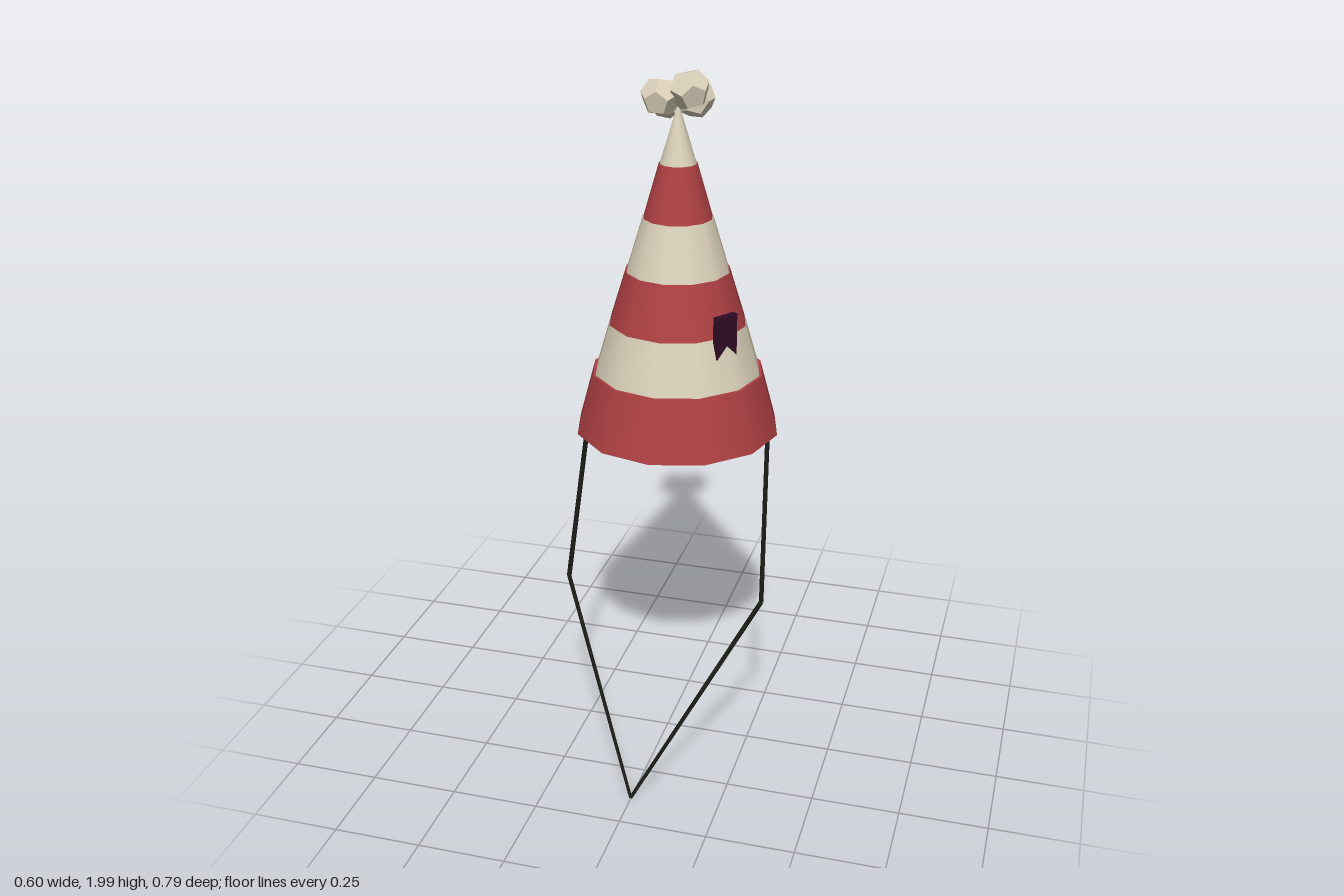
import * as THREE from 'three';

const material = (name, color) => {
  const m = new THREE.MeshStandardMaterial({ color });
  m.name = name;
  return m;
};

export function createModel() {
  const red = material('red felt', 0xae4043);
  const cream = material('cream felt', 0xdbd1ba);
  const purple = material('dark purple', 0x330c27);
  const black = material('black cord', 0x1b1b14);

  const model = new THREE.Group();
  model.name = 'partyHat';
  const axisZ = -0.103;

  const add = (parent, name, geometry, mat, x = 0, y = 0, z = 0) => {
    const mesh = new THREE.Mesh(geometry, mat);
    mesh.name = name;
    mesh.position.set(x, y, z);
    parent.add(mesh);
    return mesh;
  };

  // Striped cone: stacked twelve-sided bands, [bottom y, top y, bottom radius, top radius]
  const cone = new THREE.Group();
  cone.name = 'stripedCone';
  model.add(cone);
  [
    [0.97, 1.145, 0.295, 0.247],
    [1.145, 1.29, 0.239, 0.196],
    [1.29, 1.44, 0.196, 0.149],
    [1.44, 1.59, 0.146, 0.1],
    [1.59, 1.74, 0.098, 0.054],
    [1.74, 1.9, 0.051, 0.002],
  ].forEach(([y0, y1, r0, r1], i) => {
    const geometry = new THREE.CylinderGeometry(r1, r0, y1 - y0, 12);
    add(cone, `band${i + 1}`, geometry, i % 2 ? cream : red, 0, (y0 + y1) / 2, axisZ);
  });

  // Pompom: a cluster of faceted tufts, [x, y, z, radius]
  const pompom = new THREE.Group();
  pompom.name = 'pompom';
  model.add(pompom);
  [
    [0.036, 1.944, -0.083, 0.057],
    [-0.042, 1.922, -0.075, 0.055],
    [0.034, 1.908, -0.15, 0.055],
    [-0.042, 1.903, -0.142, 0.053],
  ].forEach(([x, y, z, r], i) => {
    const tuft = add(pompom, `tuft${i + 1}`, new THREE.DodecahedronGeometry(r), cream, x, y, z);
    tuft.rotation.set(0.5 + i * 1.3, i * 0.9, 0.3 + i * 0.7);
  });

  // Swallow-tailed ribbon tag on the side of the cone
  const tail = new THREE.Shape([
    [-0.036, 0.06], [-0.036, -0.06], [0, -0.026], [0.036, -0.06], [0.036, 0.06],
  ].map(([x, y]) => new THREE.Vector2(x, y)));
  const tagGeometry = new THREE.ExtrudeGeometry(tail, { depth: 0.018, bevelEnabled: false });
  tagGeometry.translate(0, 0, 0.188);
  const tag = add(model, 'ribbonTag', tagGeometry, purple, 0, 1.296, axisZ);
  tag.rotation.y = Math.atan2(0.83, 0.55);

  // Chin cord: two straight runs on each side meeting under the chin
  const cord = new THREE.Group();
  cord.name = 'chinCord';
  model.add(cord);
  const addRun = (name, from, to, r0, r1) => {
    const dir = to.clone().sub(from);
    const run = add(cord, name, new THREE.CylinderGeometry(r1, r0, dir.length(), 6), black);
    run.position.copy(from).add(to).multiplyScalar(0.5);
    run.quaternion.setFromUnitVectors(new THREE.Vector3(0, 1, 0), dir.normalize());
  };
  for (const [label, s] of [['left', 1], ['right', -1]]) {
    const hat = new THREE.Vector3(s * 0.268, 0.98, -0.1);
    const cheek = new THREE.Vector3(s * 0.293, 0.505, 0.045);
    const chin = new THREE.Vector3(0, 0.008, 0.392);
    addRun(`${label}UpperCord`, hat, cheek, 0.007, 0.007);
    addRun(`${label}LowerCord`, cheek, chin, 0.007, 0.005);
  }

  return model;
}
